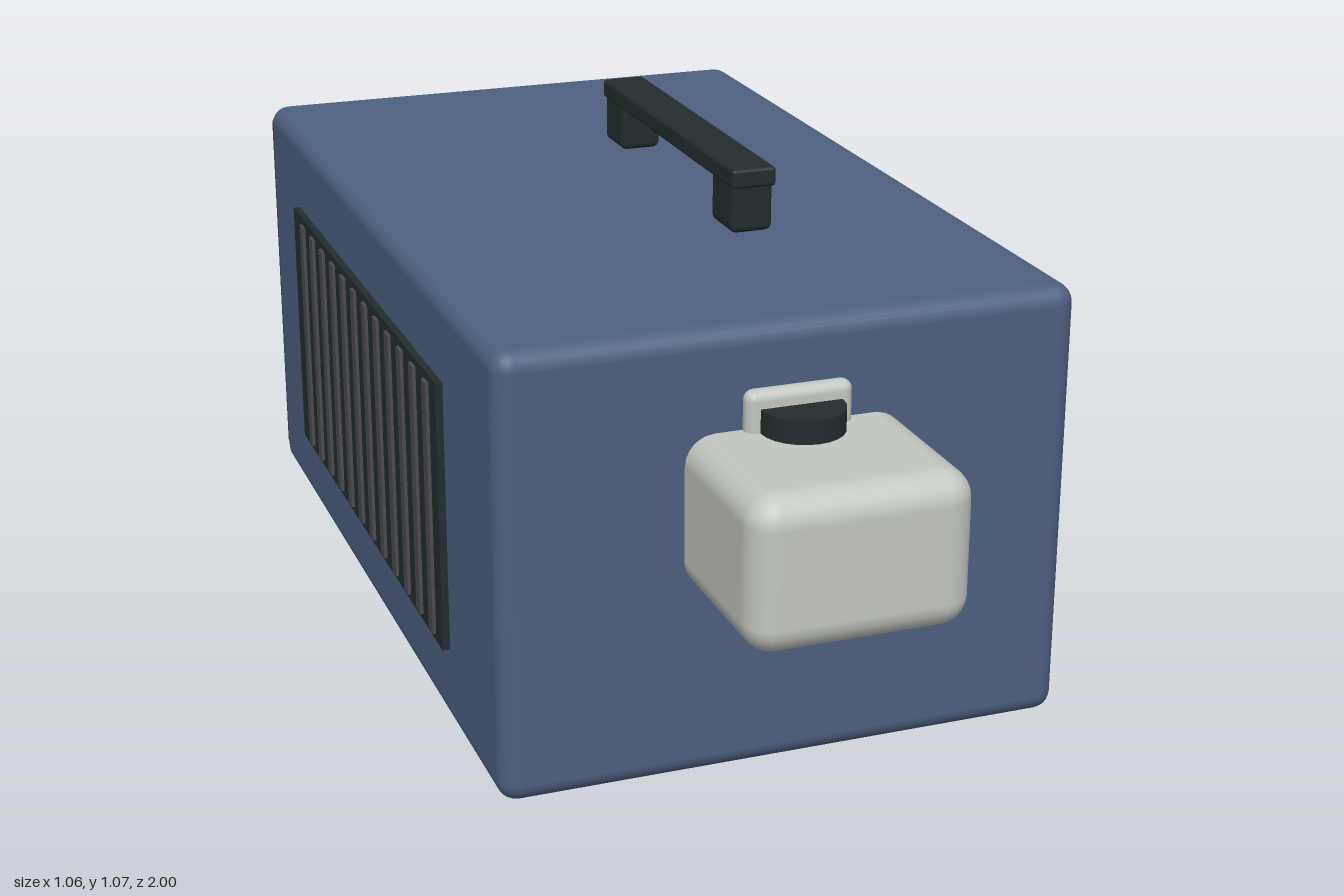
import * as THREE from 'three';
import { RoundedBoxGeometry } from 'three/addons/geometries/RoundedBoxGeometry.js';

const material = (name, color) => {
  const m = new THREE.MeshStandardMaterial({ color });
  m.name = name;
  return m;
};

export function createModel() {
  const blue = material('blue casing', 0x4d6080);
  const grey = material('dark grey metal', 0x4b4b52);
  const black = material('black plastic', 0x222d2d);
  const white = material('off-white plastic', 0xc3c7c1);
  const model = new THREE.Group();
  model.name = 'portableUnit';

  const add = (name, geometry, mat, x, y, z, parent = model) => {
    const mesh = new THREE.Mesh(geometry, mat);
    mesh.name = name;
    mesh.position.set(x, y, z);
    parent.add(mesh);
    return mesh;
  };
  // Rounded box given by its [min, max] range on each axis
  const block = (name, mat, [x0, x1], [y0, y1], [z0, z1], radius, parent) =>
    add(name, new RoundedBoxGeometry(x1 - x0, y1 - y0, z1 - z0, 3, radius), mat,
      (x0 + x1) / 2, (y0 + y1) / 2, (z0 + z1) / 2, parent);

  // Casing with rear panel and offset rear plate
  block('casing', blue, [-0.512, 0.512], [0.068, 0.865], [-0.94, 0.702], 0.035);
  block('rearPanel', grey, [-0.502, 0.502], [0.087, 0.828], [-0.975, -0.92], 0.01);
  block('rearPlate', black, [-0.347, 0.04], [0.328, 0.692], [-1, -0.96], 0.008);

  // Ribbed vent on each side
  for (const side of [1, -1]) {
    const vent = new THREE.Group();
    vent.name = side > 0 ? 'leftVent' : 'rightVent';
    model.add(vent);
    add('ventPanel', new THREE.BoxGeometry(0.03, 0.495, 1.076), black,
      side * 0.51, 0.467, -0.14, vent);
    for (let i = 0; i < 12; i++) {
      add('ventRib', new THREE.BoxGeometry(0.02, 0.468, 0.027), grey,
        side * 0.521, 0.467, 0.343 - i * 0.0847, vent);
    }
  }

  // Front tank with back tab and filler cap
  block('tank', white, [-0.193, 0.193], [0.417, 0.687], [0.64, 1], 0.052);
  block('tankTab', white, [-0.094, 0.094], [0.57, 0.757], [0.69, 0.726], 0.017);
  add('fillerCap', new THREE.CylinderGeometry(0.072, 0.072, 0.07, 24), black, 0, 0.693, 0.73);

  // Carrying handle raised above the casing
  const handle = new THREE.Group();
  handle.name = 'handle';
  model.add(handle);
  block('grip', black, [-0.039, 0.039], [1.032, 1.065], [-0.15, 0.51], 0.006, handle);
  for (const z of [-0.047, 0.405]) {
    const z0 = z < 0 ? z - 0.098 : z;
    block('handlePost', black, [-0.037, 0.037], [0.953, 1.045], [z0, z0 + 0.098], 0.012, handle);
  }

  // Rear feet
  for (const x of [-0.398, 0.398]) {
    add('foot', new THREE.CylinderGeometry(0.055, 0.055, 0.09, 20), black, x, 0.045, -0.663);
  }

  return model;
}
